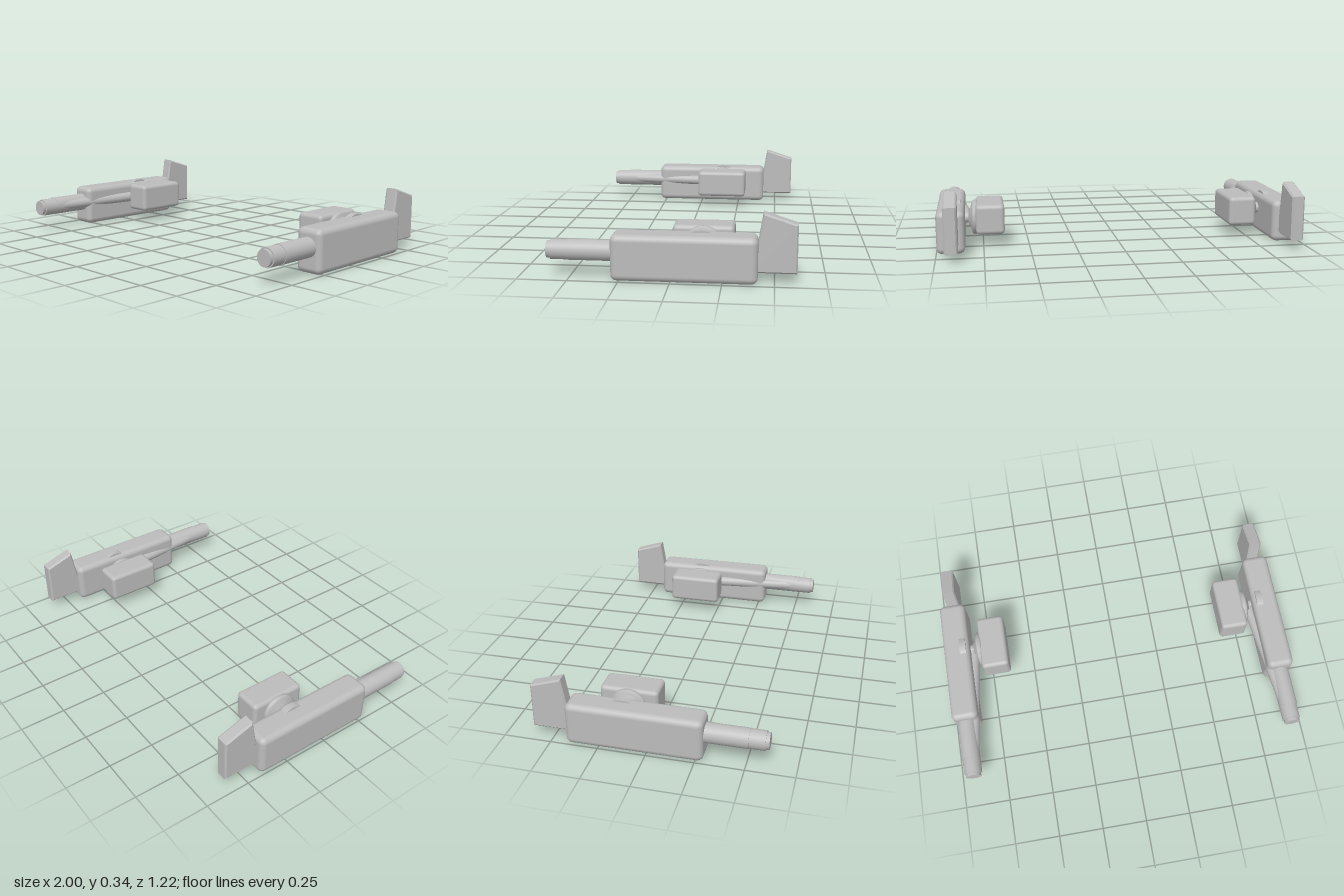
import * as THREE from 'three';
import { RoundedBoxGeometry } from 'three/addons/geometries/RoundedBoxGeometry.js';

const grey = new THREE.MeshStandardMaterial({ color: 0xbcbcbc });
grey.name = 'grey';

function add(group, name, geometry, x = 0, y = 0, z = 0) {
  const mesh = new THREE.Mesh(geometry, grey);
  mesh.name = name;
  mesh.position.set(x, y, z);
  group.add(mesh);
  return mesh;
}

// Round bar between two points
function bar(group, name, a, b, radiusA, radiusB = radiusA) {
  const from = new THREE.Vector3(...a), to = new THREE.Vector3(...b);
  const dir = to.clone().sub(from);
  const mesh = add(group, name, new THREE.CylinderGeometry(radiusB, radiusA, dir.length(), 32));
  mesh.position.copy(from).add(to).multiplyScalar(0.5);
  mesh.quaternion.setFromUnitVectors(new THREE.Vector3(0, 1, 0), dir.normalize());
  return mesh;
}

// Upright fin: side outline in (z, y), extruded along x with a small bevel
function finGeometry() {
  const bevel = 0.008, width = 0.07;
  const outline = [[-0.403, 0.058], [-0.6, 0.058], [-0.6, 0.286], [-0.449, 0.335]];
  const shape = new THREE.Shape(outline.map(([z, y]) => new THREE.Vector2(-z, y)));
  const g = new THREE.ExtrudeGeometry(shape, {
    depth: width - 2 * bevel, bevelEnabled: true, bevelSize: bevel,
    bevelThickness: bevel, bevelSegments: 1,
  });
  g.translate(0, 0, -(width / 2 - bevel));
  return g.rotateY(Math.PI / 2);
}

// One side unit; s is +1 for left and -1 for right
function sideUnit(s) {
  const unit = new THREE.Group();
  unit.name = s > 0 ? 'leftUnit' : 'rightUnit';

  // Main housing and rear fin
  add(unit, 'housing', new RoundedBoxGeometry(0.15, 0.23, 0.71, 3, 0.032), s * 0.923, 0.115, -0.065);
  add(unit, 'fin', finGeometry(), s * 0.918);

  // Front barrel with a sleeve and a stepped tip
  const bx = s * 0.921, by = 0.135;
  bar(unit, 'sleeve', [s * 0.923, 0.136, 0.2], [s * 0.923, 0.136, 0.51], 0.052);
  bar(unit, 'barrel', [bx, by, 0.2], [bx, by, 0.592], 0.05);
  bar(unit, 'barrelTip', [bx, by, 0.59], [bx, by, 0.61], 0.043);

  // Slanting brace from barrel to pivot
  bar(unit, 'brace', [s * 0.83, 0.14, -0.15], [s * 0.905, 0.136, 0.5], 0.03);

  // Pivot: domed disc beside the pad, axle, and disc inside the housing
  const profile = [[0, -0.035], [0.085, -0.035], [0.096, -0.025], [0.096, -0.008],
    [0.085, 0], [0.055, 0.006], [0.045, 0.018], [0, 0.018]];
  const disc = add(unit, 'pivotDisc',
    new THREE.LatheGeometry(profile.map(([r, y]) => new THREE.Vector2(r, y)), 40),
    s * 0.81, 0.142, -0.145);
  disc.rotation.z = -s * Math.PI / 2;
  bar(unit, 'axle', [s * 0.8, 0.142, -0.145], [s * 0.9, 0.142, -0.145], 0.03);
  bar(unit, 'innerDisc', [s * 0.868, 0.142, -0.145], [s * 0.905, 0.142, -0.145], 0.1);

  // Inner pad
  add(unit, 'pad', new RoundedBoxGeometry(0.155, 0.163, 0.31, 3, 0.022), s * 0.711, 0.153, -0.145);
  return unit;
}

export function createModel() {
  const model = new THREE.Group();
  model.name = 'pairedUnits';
  for (const s of [1, -1]) model.add(sideUnit(s));
  return model;
}
